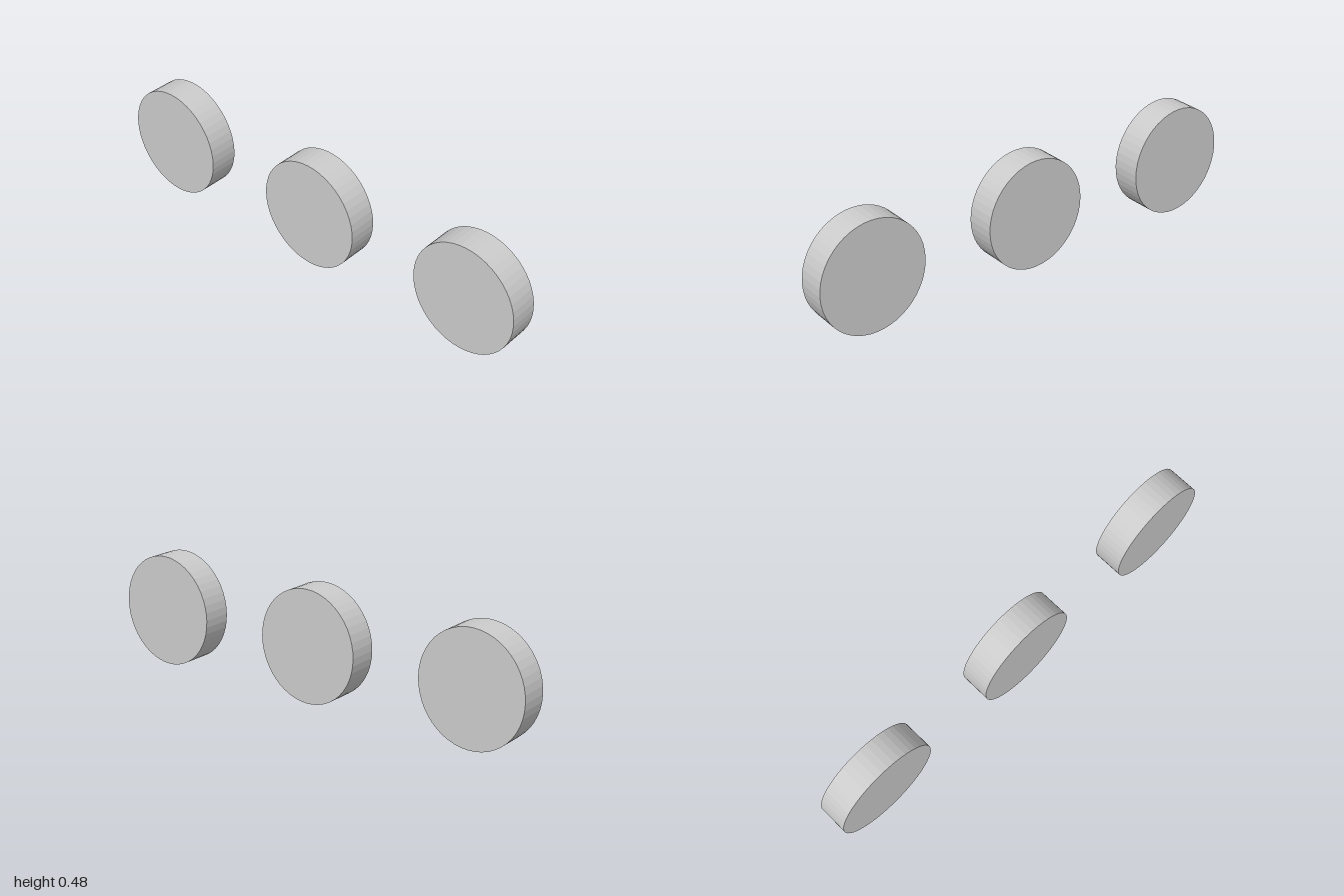
import * as THREE from 'three';

export function createModel() {
  const group = new THREE.Group();
  const material = new THREE.MeshStandardMaterial({ color: 0xcccccc, flatShading: true });
  const halfWidth = 0.2315, halfHeight = 0.2415, depth = 0.127;

  // Slightly oval disc, its flat faces turned to front and back
  const geometry = new THREE.CylinderGeometry(1, 1, depth, 48);
  geometry.rotateX(Math.PI / 2);
  geometry.scale(halfWidth, halfHeight, 1);

  // Three discs in a row
  ['rightDisc', 'middleDisc', 'leftDisc'].forEach((name, i) => {
    const disc = new THREE.Mesh(geometry, material);
    disc.name = name;
    disc.position.set((i - 1) * (1 - halfWidth), halfHeight, 0);
    group.add(disc);
  });
  return group;
}
